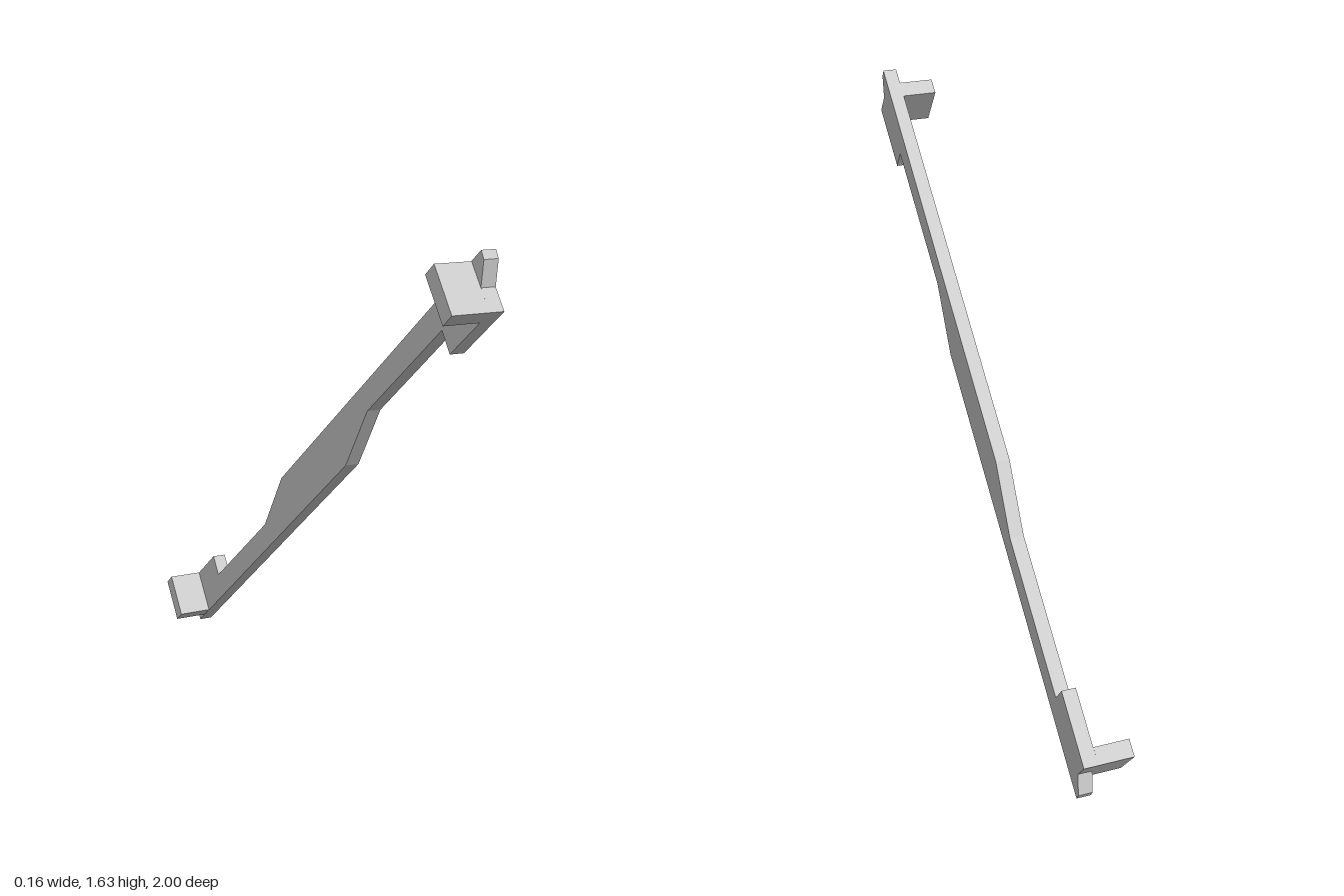
import * as THREE from 'three';

const HALF_HEIGHT = 0.815;
const X_IN = 0.034, X_OUT = 0.079;

// Half turn about the middle of the side profile
const turn = ([z, y]) => [-z, 2 * HALF_HEIGHT - y];

// Extrude a (z, y) outline between two x positions
function slab(name, points, x0, x1, material) {
  const shape = new THREE.Shape(points.map(([z, y]) => new THREE.Vector2(z, y)));
  const geometry = new THREE.ExtrudeGeometry(shape, { depth: x1 - x0, bevelEnabled: false });
  geometry.rotateY(-Math.PI / 2).translate(x1, 0, 0);
  const mesh = new THREE.Mesh(geometry, material);
  mesh.name = name;
  return mesh;
}

export function createModel() {
  const model = new THREE.Group();
  model.name = 'diagonalBrace';
  const material = new THREE.MeshStandardMaterial({ color: 0xcccccc, flatShading: true });

  // Flat diagonal bar: hooked nose, end pad, neck and wide middle, repeated by a half turn
  const half = [
    [0.952, 1.63], [0.966, 1.607], [0.956, 1.533], [1, 1.475],
    [0.813, 1.335], [0.77, 1.394], [0.36, 1.088], [0.227, 0.89],
  ];
  model.add(slab('bar', [...half, ...half.map(turn)], X_IN, X_OUT, material));

  // Tabs standing out sideways at both ends
  const tab = [[1, 1.475], [0.908, 1.596], [0.865, 1.563], [0.957, 1.442]];
  model.add(slab('upperTab', tab, -X_OUT, X_IN, material));
  model.add(slab('lowerTab', tab.map(turn), -X_OUT, X_IN, material));

  return model;
}
